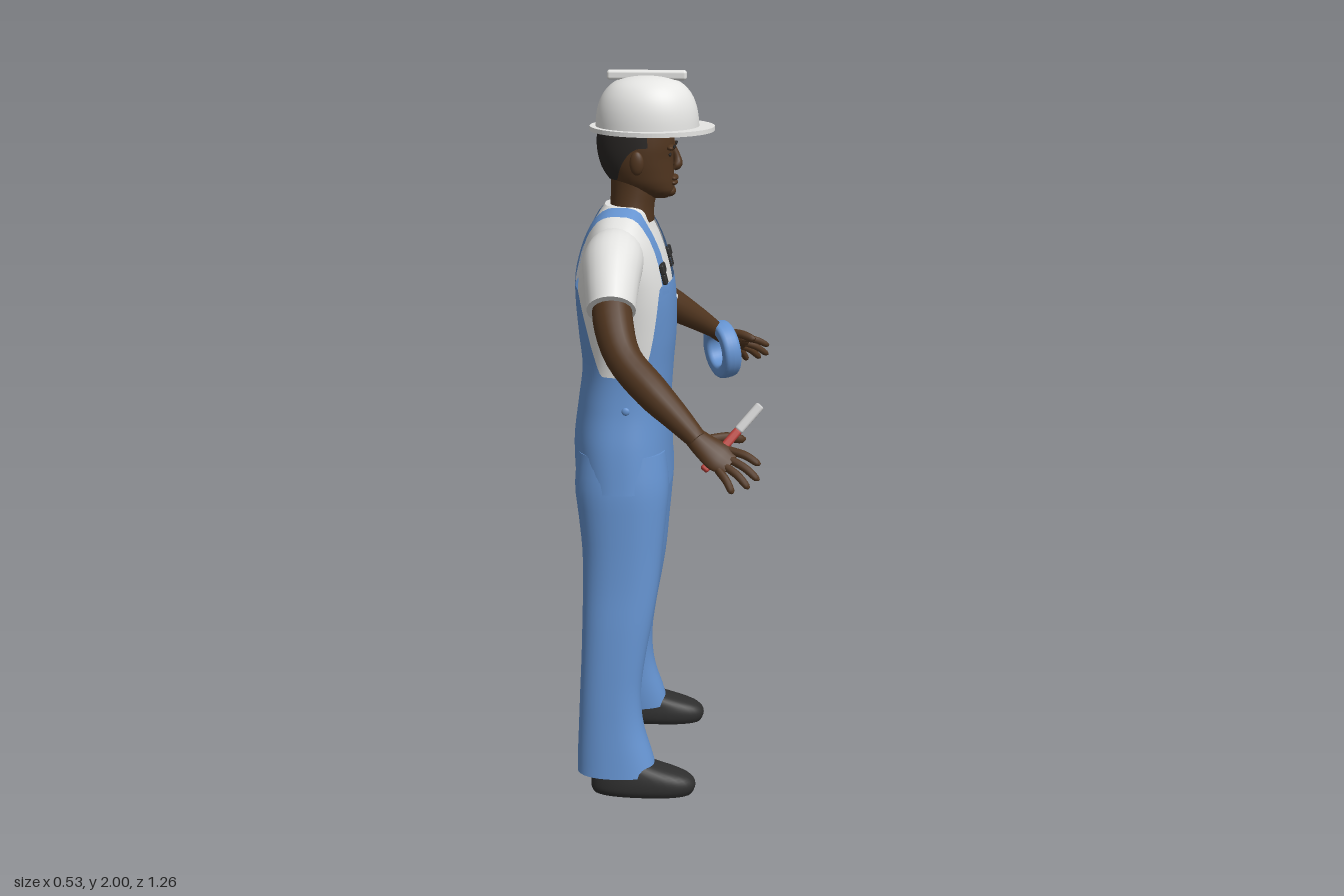
import * as THREE from 'three';
import { RoundedBoxGeometry } from 'three/addons/geometries/RoundedBoxGeometry.js';

const V = (x, y, z) => new THREE.Vector3(x, y, z);
const { lerp, smoothstep, degToRad } = THREE.MathUtils;
const mat = (name, color, side = THREE.FrontSide) => {
  const m = new THREE.MeshStandardMaterial({ color, side });
  m.name = name;
  return m;
};

// Surface through rows of points; wraps around when closed, flat ends when capped
function grid(rows, closed = true, capped = true) {
  const n = rows[0].length, pos = [], idx = [];
  rows.forEach(r => r.forEach(p => pos.push(p.x, p.y, p.z)));
  for (let i = 0; i < rows.length - 1; i++)
    for (let j = 0; j < (closed ? n : n - 1); j++) {
      const a = i * n + j, b = i * n + (j + 1) % n;
      idx.push(a, b, b + n, a, b + n, a + n);
    }
  if (capped) [0, rows.length - 1].forEach((k, end) => {
    const base = pos.length / 3, c = V(0, 0, 0);
    rows[k].forEach(p => { pos.push(p.x, p.y, p.z); c.addScaledVector(p, 1 / n); });
    pos.push(c.x, c.y, c.z);
    for (let j = 0; j < n; j++) {
      const a = base + j, b = base + (j + 1) % n;
      idx.push(base + n, end ? a : b, end ? b : a);
    }
  });
  const g = new THREE.BufferGeometry();
  g.setAttribute('position', new THREE.Float32BufferAttribute(pos, 3));
  g.setIndex(idx);
  g.computeVertexNormals();
  return g;
}

// Body profile from rows of [y, back x, front x, half width, centre z]
function profile(rows, power = 2.3) {
  const it = new THREE.CubicInterpolant(rows.map(r => r[0]), rows.flatMap(r => [r[1], r[2], r[3], r[4] || 0]), 4);
  const at = y => { const [b, f, w, c] = it.evaluate(y); return { cx: (b + f) / 2, rx: (f - b) / 2, rz: w, cz: c }; };
  const bend = v => Math.sign(v) * Math.abs(v) ** (2 / power);
  return {
    low: rows[0][0], high: rows[rows.length - 1][0],
    point(y, a, off = 0) {
      const s = at(y);
      return V(s.cx + (s.rx + off) * bend(Math.cos(a)), y, s.cz - (s.rz + off) * bend(Math.sin(a)));
    },
    inside(x, y, z) {
      if (y > this.high) return false;
      const s = at(y);
      return Math.abs((x - s.cx) / s.rx) ** power + Math.abs((z - s.cz) / s.rz) ** power < 1;
    },
  };
}
const steps = (n, fn) => Array.from({ length: n + 1 }, (_, i) => fn(i / n));
const ringOf = (n, fn) => Array.from({ length: n }, (_, j) => fn(j / n * Math.PI * 2));
const loft = (p, n = 36, m = 30) => grid(steps(m, t => ringOf(n, a => p.point(lerp(p.low, p.high, t), a))));

// Limb along points of [x, y, z, radius across, radius through]
function sweep(pts, across = V(1, 0, 0), n = 16, m = 20) {
  const path = new THREE.CatmullRomCurve3(pts.map(p => V(p[0], p[1], p[2])));
  const size = new THREE.CatmullRomCurve3(pts.map((p, i) => V(p[3], p[4] ?? p[3], i)));
  return grid(steps(m, t => {
    const c = path.getPoint(t), r = size.getPoint(t), T = path.getTangent(t);
    const S = across.clone().addScaledVector(T, -across.dot(T)).normalize(), N = T.clone().cross(S);
    return ringOf(n, a => c.clone().addScaledVector(S, r.x * Math.cos(a)).addScaledVector(N, r.y * Math.sin(a)));
  }));
}
function mirrored(geo) {
  const g = geo.clone().scale(1, 1, -1);
  if (!g.index) g.setIndex([...Array(g.attributes.position.count).keys()]);
  const k = g.index.array;
  for (let i = 0; i < k.length; i += 3) [k[i], k[i + 1]] = [k[i + 1], k[i]];
  return g;
}

export function createModel() {
  const root = new THREE.Group();
  const blue = mat('denim blue', 0x6593d0, THREE.DoubleSide), white = mat('shirt white', 0xe2e2e0);
  const shell = mat('helmet white', 0xe6e6e4, THREE.DoubleSide), skin = mat('brown skin', 0x50351f);
  const hairM = mat('hair black', 0x292624, THREE.DoubleSide), black = mat('shoe black', 0x2e2e2e);
  const red = mat('handle red', 0xb8403a), steel = mat('tool grey', 0xc4c4c4);
  const add = (name, geo, m, x = 0, y = 0, z = 0) => {
    const o = new THREE.Mesh(geo, m);
    o.name = name;
    o.position.set(x, y, z);
    root.add(o);
    return o;
  };
  const pair = (name, geo, m) => { add(name + 'Right', geo, m); add(name + 'Left', mirrored(geo), m); };
  const blob = (rx, ry, rz, x, y, z) => new THREE.SphereGeometry(1, 18, 12).scale(rx, ry, rz).translate(x, y, z);

  // Shirt
  const torso = profile([[0.88, -0.257, 0, 0.212], [1.0, -0.26, -0.004, 0.196], [1.1, -0.248, -0.006, 0.176],
    [1.2, -0.236, 0, 0.167], [1.3, -0.245, 0.008, 0.174], [1.42, -0.252, 0.004, 0.19], [1.5, -0.242, -0.014, 0.2],
    [1.56, -0.224, -0.036, 0.194], [1.6, -0.206, -0.055, 0.16], [1.63, -0.188, -0.062, 0.105], [1.645, -0.178, -0.066, 0.07]], 2.4);
  add('shirt', grid(steps(30, t => ringOf(48, a => torso.point(lerp(1.1, torso.high, t), a)))), white);
  pair('sleeve', sweep([[-0.135, 1.535, 0.1, 0.07, 0.07], [-0.14, 1.52, 0.18, 0.08, 0.082],
    [-0.138, 1.475, 0.25, 0.072, 0.076], [-0.134, 1.42, 0.305, 0.064, 0.07]], V(1, 0, 0), 24), white);

  // Overalls: bib and back panel are high, the sides are cut low
  const topEdge = a => {
    const d = Math.abs(a > Math.PI ? a - Math.PI * 2 : a) * 180 / Math.PI;
    return 1.2 + 0.245 * (1 - smoothstep(d, 38, 72)) + 0.23 * smoothstep(d, 112, 152);
  };
  add('overallsBody', grid(steps(32, t => ringOf(96, a => torso.point(lerp(0.88, topEdge(a), t), a, 0.007))), true, false), blue);
  add('overallsSeat', grid([0.87, 0.89].map(y => ringOf(48, a => torso.point(y, a, 0.005)))), blue);
  const leg = profile([[0.06, -0.25, -0.025, 0.068, 0.224], [0.1, -0.25, -0.035, 0.067, 0.22],
    [0.2, -0.246, -0.064, 0.064, 0.212], [0.3, -0.242, -0.07, 0.064, 0.204], [0.4, -0.238, -0.058, 0.067, 0.193],
    [0.5, -0.236, -0.04, 0.074, 0.176], [0.6, -0.235, -0.024, 0.079, 0.158], [0.7, -0.237, -0.014, 0.087, 0.141],
    [0.8, -0.248, -0.004, 0.098, 0.124], [0.88, -0.258, 0.002, 0.107, 0.11], [0.98, -0.25, -0.008, 0.1, 0.1]]);
  pair('trouserLeg', loft(leg), blue);

  // Straps lie on the shirt, found by casting outward from the chest
  const onShirt = (a, z) => {
    let r = 0.02;
    while (r < 0.4 && torso.inside(-0.125 + r * Math.cos(a), 1.42 + r * Math.sin(a), z)) r += 0.001;
    return V(-0.125 + (r + 0.008) * Math.cos(a), 1.42 + (r + 0.008) * Math.sin(a), z);
  };
  const strap = grid(steps(40, t => {
    const z = t < 0.5 ? lerp(0.112, 0.105, t * 2) : lerp(0.105, 0.06, t * 2 - 1);
    return [-0.019, 0, 0.019].map(d => onShirt(t * Math.PI, z + d));
  }), false, false);
  pair('strap', strap, blue);
  const clip = (h, w, y) => {
    const p = onShirt(Math.atan2(y - 1.42, 0.125), 0.112);
    return new RoundedBoxGeometry(0.014, h, w, 2, 0.005).rotateZ(0.25).translate(p.x, y, p.z);
  };
  pair('buckle', clip(0.028, 0.052, 1.49), black);
  pair('buckleLoop', clip(0.03, 0.032, 1.462), black);
  pair('sideButton', blob(0.011, 0.011, 0.006, -0.11, 1.11, 0.184), blue);
  add('bibTag', blob(0.004, 0.008, 0.008, 0.011, 1.37, -0.07), white);

  // Shoes
  pair('shoe', loft(profile([[0, -0.205, 0.076, 0.05, 0.232], [0.015, -0.211, 0.084, 0.057, 0.232],
    [0.035, -0.21, 0.083, 0.057, 0.232], [0.055, -0.206, 0.06, 0.053, 0.232], [0.085, -0.2, -0.03, 0.046, 0.23]], 2.5), 32, 14), black);

  // Arms and hands
  pair('arm', sweep([[-0.136, 1.47, 0.25, 0.05, 0.052], [-0.128, 1.4, 0.325, 0.052, 0.05], [-0.095, 1.32, 0.395, 0.047, 0.046],
    [-0.02, 1.25, 0.455, 0.046, 0.045], [0.05, 1.195, 0.505, 0.036, 0.034], [0.105, 1.15, 0.545, 0.026, 0.024]]), skin);
  const knuckles = V(-0.5, -0.6, 0.6);
  pair('palm', sweep([[0.09, 1.16, 0.535, 0.026, 0.023], [0.125, 1.135, 0.552, 0.035, 0.021],
    [0.16, 1.113, 0.566, 0.041, 0.017], [0.188, 1.098, 0.575, 0.03, 0.009]], knuckles), skin);
  [[0.18, 1.128, 0.548, 0.262, 1.1, 0.573], [0.178, 1.112, 0.563, 0.26, 1.066, 0.594],
    [0.17, 1.098, 0.577, 0.236, 1.05, 0.612], [0.158, 1.087, 0.588, 0.196, 1.04, 0.625],
    [0.125, 1.148, 0.535, 0.222, 1.14, 0.492]].forEach(([x, y, z, u, v, w], i) => {
    const r = i === 4 ? 0.013 : 0.0105;
    pair(i === 4 ? 'thumb' : 'finger' + (i + 1), sweep([[x, y, z, r], [lerp(x, u, 0.55), lerp(y, v, 0.55) + 0.006, lerp(z, w, 0.55), r],
      [lerp(x, u, 0.9), lerp(y, v, 0.9), lerp(z, w, 0.9), r * 0.85], [u, v, w, r * 0.3]], knuckles, 10, 10), skin);
  });

  // Hand tool and tape roll
  const rod = (name, m, t0, t1, w, d) => {
    const a = V(0.12, 1.08, 0.57), b = V(0.258, 1.228, 0.488), dir = b.clone().sub(a), len = dir.length();
    const o = add(name, new RoundedBoxGeometry(w, len * (t1 - t0), d, 2, 0.006), m);
    o.position.lerpVectors(a, b, (t0 + t1) / 2);
    o.quaternion.setFromUnitVectors(V(0, 1, 0), dir.normalize());
  };
  rod('toolHandle', red, 0, 0.62, 0.022, 0.026);
  rod('toolTip', steel, 0.6, 1, 0.024, 0.028);
  const section = ringOf(20, a => new THREE.Vector2(0.068 + 0.021 * Math.sign(Math.cos(a)) * Math.abs(Math.cos(a)) ** 0.6,
    0.028 * Math.sign(Math.sin(a)) * Math.abs(Math.sin(a)) ** 0.6));
  section.push(section[0].clone());
  add('tapeRoll', new THREE.LatheGeometry(section, 40), blue, 0.12, 1.093, -0.545)
    .quaternion.setFromUnitVectors(V(0, 1, 0), V(0.88, 0.1, -0.46).normalize());

  // Head
  add('neck', loft(profile([[1.6, -0.175, -0.045, 0.08], [1.64, -0.165, -0.045, 0.069], [1.69, -0.162, -0.035, 0.062],
    [1.75, -0.16, -0.04, 0.06]], 2), 28, 10), skin);
  const skull = profile([[1.662, -0.055, -0.008, 0.02], [1.675, -0.1, 0.006, 0.044], [1.7, -0.145, 0.009, 0.064],
    [1.735, -0.175, 0.008, 0.075], [1.77, -0.188, 0.007, 0.081], [1.81, -0.193, 0.01, 0.083], [1.86, -0.185, 0, 0.078],
    [1.91, -0.15, -0.04, 0.05]], 2.1);
  add('head', loft(skull), skin);
  add('nose', sweep([[0.005, 1.798, 0, 0.009], [0.016, 1.772, 0, 0.01], [0.018, 1.752, 0, 0.018, 0.013], [0.008, 1.74, 0, 0.016, 0.008]],
    V(0, 0, 1), 14, 12), skin);
  add('upperLip', blob(0.012, 0.008, 0.027, 0.009, 1.716, 0), skin);
  add('lowerLip', blob(0.012, 0.008, 0.023, 0.007, 1.703, 0), skin);
  add('chin', blob(0.018, 0.016, 0.024, -0.004, 1.68, 0), skin);
  pair('brow', blob(0.012, 0.008, 0.025, 0.002, 1.801, 0.034), skin);
  pair('eyebrow', blob(0.004, 0.004, 0.022, 0.012, 1.804, 0.036), hairM);
  pair('eye', blob(0.004, 0.005, 0.013, 0.0, 1.782, 0.034), hairM);
  pair('ear', blob(0.019, 0.032, 0.012, -0.085, 1.765, 0.084), skin);
  const hair = steps(10, t => steps(40, k => {
    const a = degToRad(lerp(72, 288, k)), back = smoothstep(Math.abs(a - Math.PI), 0.75, 1.7);
    return skull.point(lerp(lerp(1.715, 1.805, back), 1.87, t), a, 0.006);
  }));
  add('hair', grid(hair, false, false), hairM);

  // Helmet
  const dome = [[1, 0], [0.985, 0.03], [0.94, 0.06], [0.85, 0.088], [0.7, 0.112], [0.5, 0.127], [0.25, 0.135], [0, 0.138]];
  const curve = new THREE.SplineCurve(dome.map(p => new THREE.Vector2(...p))).getPoints(24);
  add('helmetDome', new THREE.LatheGeometry(curve, 48).scale(0.139, 1, 0.12), shell, -0.063, 1.85, 0);
  const brim = new THREE.Shape().absellipse(0, 0, 0.167, 0.142, 0, Math.PI * 2);
  brim.holes.push(new THREE.Path().absellipse(-0.012, 0, 0.132, 0.113, 0, Math.PI * 2, true));
  add('helmetBrim', new THREE.ExtrudeGeometry(brim, { depth: 0.012, bevelEnabled: false, curveSegments: 48 })
    .rotateX(-Math.PI / 2), shell, -0.05, 1.842, 0);
  add('helmetRidge', new RoundedBoxGeometry(0.212, 0.026, 0.023, 3, 0.008), shell, -0.064, 1.987, 0);
  return root;
}
